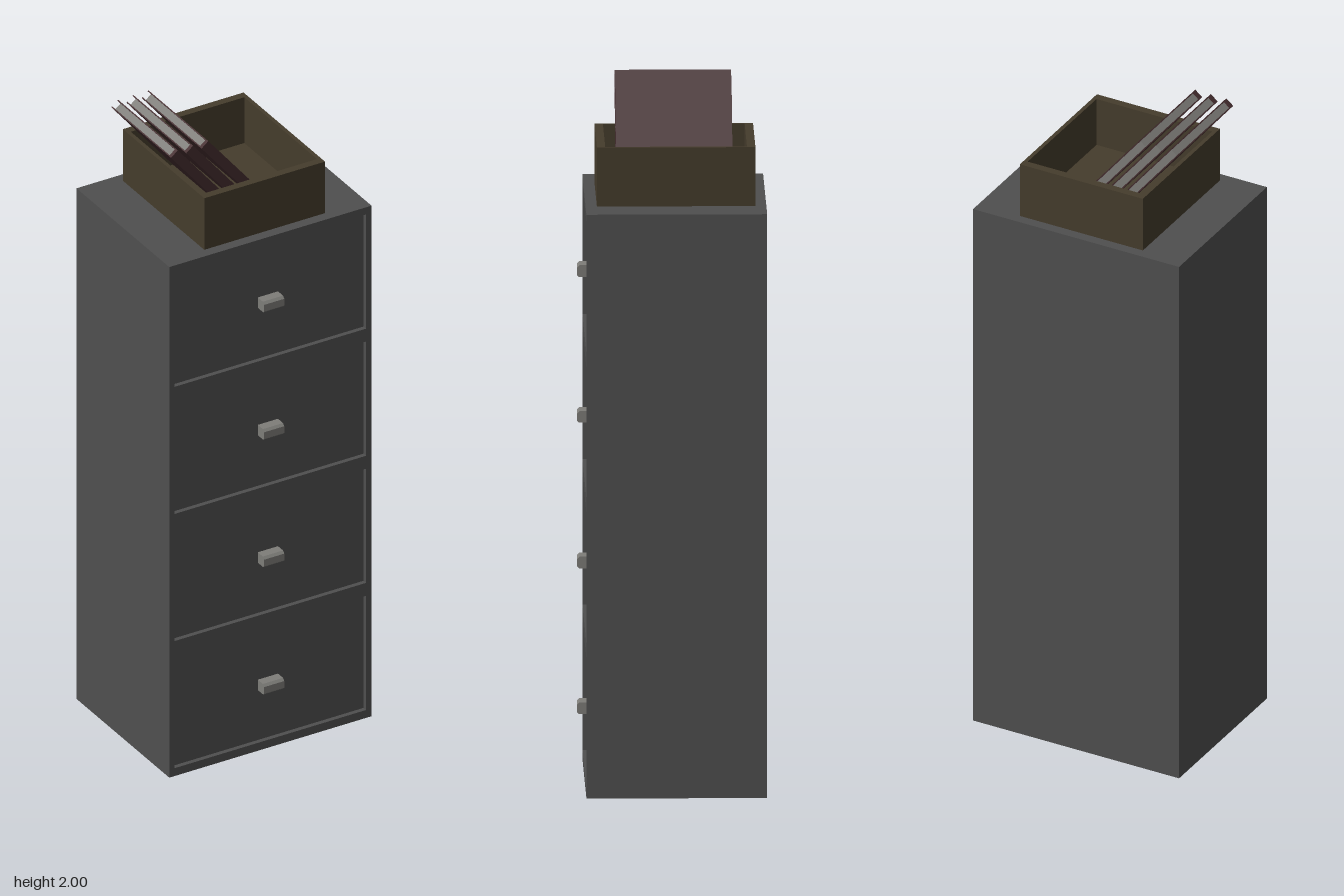
import * as THREE from 'three';

const mat = (name, color, side = THREE.FrontSide) => {
  const m = new THREE.MeshStandardMaterial({ color, side });
  m.name = name;
  return m;
};

export function createModel() {
  const steel = mat('greySteel', 0x4f4f4f, THREE.DoubleSide);
  const pale = mat('paleGrey', 0x7e7d79);
  const olive = mat('oliveBoard', 0x453c2c);
  const maroon = mat('maroonCover', 0x452d2f);

  const model = new THREE.Group();
  model.name = 'filingCabinet';

  const add = (parent, name, geometry, material, x = 0, y = 0, z = 0) => {
    const mesh = new THREE.Mesh(geometry, material);
    mesh.name = name;
    mesh.position.set(x, y, z);
    parent.add(mesh);
    return mesh;
  };
  const box = (w, h, d) => new THREE.BoxGeometry(w, h, d);

  // Box with some faces left open (0 +x, 1 -x, 2 +y, 3 -y, 4 +z, 5 -z)
  const openBox = (w, h, d, open) => {
    const g = box(w, h, d);
    const index = Array.from(g.index.array);
    g.setIndex(index.filter((_, i) => !open.includes(Math.floor(i / 6))));
    g.clearGroups();
    return g;
  };
  const rect = (Type, x0, y0, x1, y1) => {
    const p = new Type();
    p.moveTo(x0, y0);
    p.lineTo(x1, y0);
    p.lineTo(x1, y1);
    p.lineTo(x0, y1);
    p.closePath();
    return p;
  };

  // Cabinet shell, open underneath
  const W = 0.67, H = 1.685, back = -0.268, front = 0.246, D = front - back;
  add(model, 'cabinetShell', openBox(W, H, D, [3, 4]), steel, 0, H / 2, (front + back) / 2);

  // Handle: side profile with chamfered front edges, extruded across x
  const profile = new THREE.Shape();
  [[0, -0.017], [0.04, -0.017], [0.045, -0.012], [0.045, 0.01], [0.038, 0.017], [0, 0.017]]
    .forEach(([z, y], i) => (i ? profile.lineTo(z, y) : profile.moveTo(z, y)));
  const handleGeo = new THREE.ExtrudeGeometry(profile, { depth: 0.067, bevelEnabled: false });
  handleGeo.translate(0, 0, -0.0335);
  handleGeo.rotateY(-Math.PI / 2);

  // Front frame and four recessed drawers
  const face = rect(THREE.Shape, -W / 2, 0, W / 2, H);
  const dw = 0.634, dh = 0.377, recess = 0.014;
  for (let i = 0; i < 4; i++) {
    const y0 = 0.026 + i * 0.4195;
    face.holes.push(rect(THREE.Path, -dw / 2, y0, dw / 2, y0 + dh));
    const drawer = new THREE.Group();
    drawer.name = 'drawer' + (i + 1);
    add(drawer, 'drawerFront', openBox(dw, dh, recess, [4]), steel, 0, y0 + dh / 2, front - recess / 2);
    add(drawer, 'drawerHandle', handleGeo, pale, 0, 0.208 + i * 0.4205, 0.222);
    model.add(drawer);
  }
  add(model, 'frontFrame', new THREE.ShapeGeometry(face), steel, 0, 0, front);

  // Open tray on top
  const tray = new THREE.Group();
  tray.name = 'tray';
  const rim = rect(THREE.Shape, -0.2, -0.214, 0.2, 0.237);
  rim.holes.push(rect(THREE.Path, -0.188, -0.19, 0.188, 0.213));
  const rimGeo = new THREE.ExtrudeGeometry(rim, { depth: 0.17, bevelEnabled: false });
  rimGeo.rotateX(-Math.PI / 2);
  add(tray, 'trayWalls', rimGeo, olive, 0, H, 0);
  add(tray, 'trayFloor', box(0.376, 0.018, 0.403), olive, 0, H + 0.01, -0.0115);
  model.add(tray);

  // Three leaning books: spine at the front, pages showing on the other edges
  const T = 0.029, L = 0.323, Z = 0.331, c = 0.0035;
  const lean = 0.683;
  for (let i = 0; i < 3; i++) {
    const book = new THREE.Group();
    book.name = 'book' + (i + 1);
    for (const s of [-1, 1]) {
      add(book, 'cover', box(c, L, Z), maroon, s * (T - c) / 2, 0, 0);
    }
    add(book, 'spine', box(T - 2 * c, L, 0.012), maroon, 0, 0, Z / 2 - 0.006);
    add(book, 'pages', box(T - 2 * c, L - 0.012, Z - 0.024), pale, 0, 0, 0);
    book.rotation.z = lean;
    // Place by the upper right corner of the book
    const px = -0.253 + i * 0.0505, py = 2;
    book.position.set(
      px - (T / 2) * Math.cos(lean) + (L / 2) * Math.sin(lean),
      py - (T / 2) * Math.sin(lean) - (L / 2) * Math.cos(lean),
      -0.0095
    );
    model.add(book);
  }

  return model;
}
